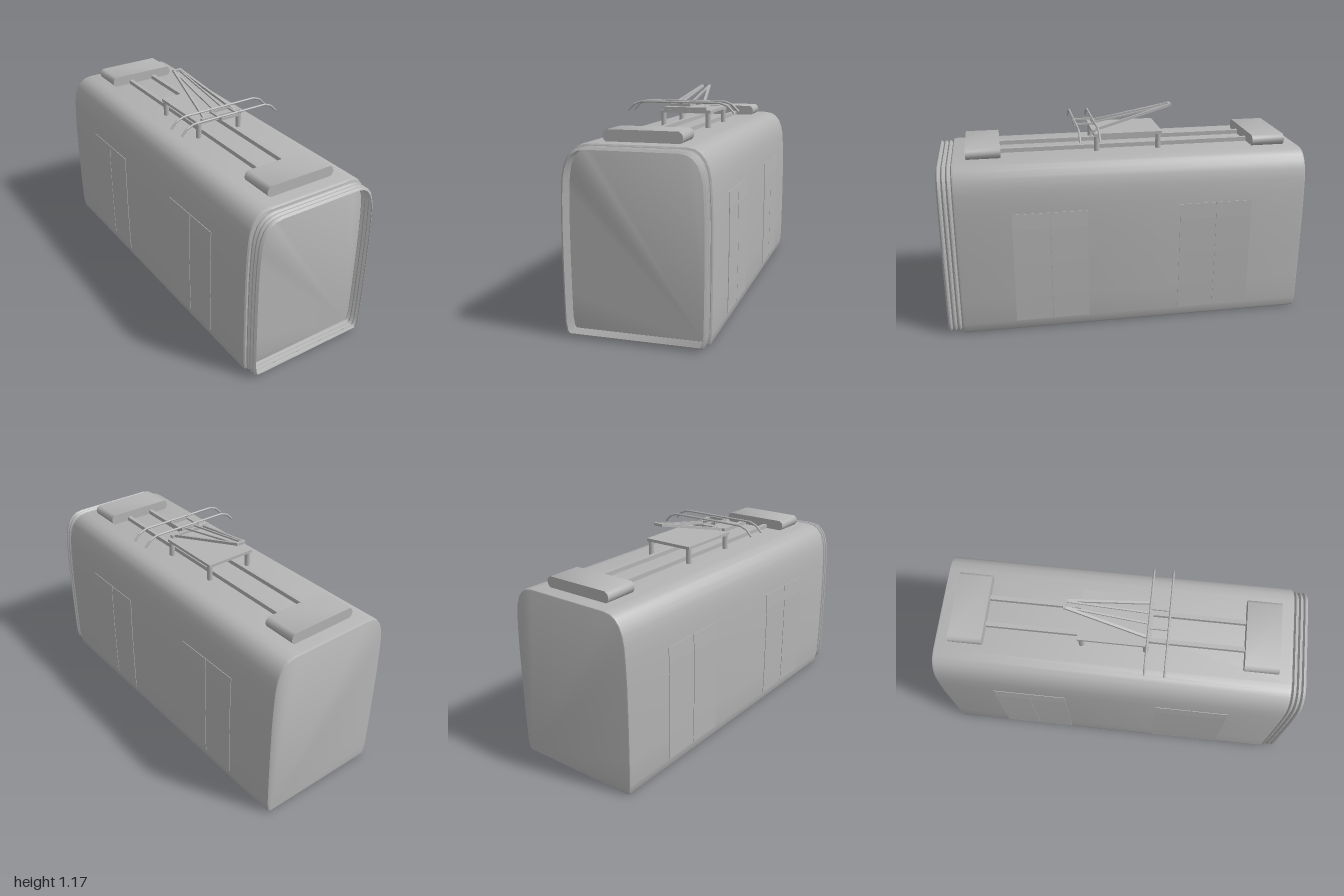
import * as THREE from 'three';
import { toCreasedNormals } from 'three/addons/utils/BufferGeometryUtils.js';

const grey = new THREE.MeshStandardMaterial({ color: 0xb4b4b4 });
grey.name = 'light grey';
grey.side = THREE.DoubleSide;

// Right half of the tram's cross-section, bottom to top
const SIDE = [[0.348, 0], [0.358, 0.012], [0.366, 0.06], [0.369, 0.2], [0.371, 0.4], [0.371, 0.6],
  [0.367, 0.72], [0.362, 0.8], [0.352, 0.85], [0.336, 0.892], [0.312, 0.922], [0.282, 0.94], [0.24, 0.947]];
const RING = [...SIDE, ...SIDE.map(([x, y]) => [-x, y]).reverse()];
const MID = 0.474;

// Half width of the body at height y
function widthAt(y) {
  const i = SIDE.findIndex(p => p[1] >= y);
  const [x0, y0] = SIDE[i - 1], [x1, y1] = SIDE[i];
  return x0 + (x1 - x0) * (y - y0) / (y1 - y0);
}

// Skin the cross-section through sections of [z, inset]
function loft(sections, capped) {
  const pos = [], idx = [], n = RING.length;
  const ring = (z, d) => RING.forEach(([x, y]) =>
    pos.push(x * (1 - d / 0.371), MID + (y - MID) * (1 - d / MID), z));
  sections.forEach(([z, d]) => ring(z, d));
  for (let r = 0; r < sections.length - 1; r++) {
    for (let i = 0; i < n; i++) {
      const a = r * n + i, b = r * n + (i + 1) % n;
      idx.push(a, b, b + n, a, b + n, a + n);
    }
  }
  if (capped) {
    const last = (sections.length - 1) * n;
    for (let i = 1; i < n - 1; i++) {
      idx.push(0, i + 1, i, last, last + i, last + i + 1);
    }
  }
  const g = new THREE.BufferGeometry();
  g.setAttribute('position', new THREE.Float32BufferAttribute(pos, 3));
  g.setIndex(idx);
  return toCreasedNormals(g, 0.6);
}

export function createModel() {
  const model = new THREE.Group();
  model.name = 'tramSection';

  const add = (name, geometry, x = 0, y = 0, z = 0) => {
    const m = new THREE.Mesh(geometry, grey);
    m.name = name;
    m.position.set(x, y, z);
    model.add(m);
    return m;
  };
  const box = (name, w, h, d, x, y, z) => add(name, new THREE.BoxGeometry(w, h, d), x, y, z);
  // Square bar running between two points
  const bar = (name, from, to, t) => {
    const a = new THREE.Vector3(...from), b = new THREE.Vector3(...to);
    const m = box(name, t, t, a.distanceTo(b), 0, 0, 0);
    m.position.copy(a).add(b).multiplyScalar(0.5);
    m.lookAt(b);
  };

  // Body shell with softly rounded ends
  add('body', loft([[-1, 0.008], [-0.997, 0.003], [-0.988, 0], [0.908, 0], [0.917, 0.003], [0.922, 0.01]], true));

  // Open pleated gangway bellows
  const pleats = [[0.915, 0.02]];
  for (let i = 0; i < 3; i++) {
    const z = 0.925 + i * 0.025;
    pleats.push([z, 0.022], [z + 0.009, 0.011], [z + 0.016, 0.011]);
  }
  pleats.push([1, 0.022]);
  add('bellows', loft(pleats, false));

  // Double doors following the curve of each side
  const levels = [0.06, 0.2, 0.4, 0.6, 0.69];
  const leaf = new THREE.Shape([
    ...levels.map(y => new THREE.Vector2(widthAt(y) + 0.003, y)),
    ...levels.slice().reverse().map(y => new THREE.Vector2(widthAt(y) - 0.003, y)),
  ]);
  const leafGeometry = new THREE.ExtrudeGeometry(leaf, { depth: 0.2, bevelEnabled: false });
  for (const z of [0.22, -0.692]) {
    for (const dz of [0, 0.204]) {
      add('leftDoorLeaf', leafGeometry, 0, 0, z + dz);
      add('rightDoorLeaf', leafGeometry, 0, 0, z + dz + 0.2).rotation.y = Math.PI;
    }
  }

  // Roof equipment boxes with rounded sides
  const pod = new THREE.Shape([
    [-0.185, 0.946], [0.185, 0.946], [0.197, 0.958], [0.202, 0.975], [0.197, 0.993], [0.18, 1.005],
    [-0.18, 1.005], [-0.197, 0.993], [-0.202, 0.975], [-0.197, 0.958],
  ].map(p => new THREE.Vector2(...p)));
  const podGeometry = toCreasedNormals(
    new THREE.ExtrudeGeometry(pod, { depth: 0.185, bevelEnabled: false }), 0.7);
  add('frontRoofBox', podGeometry, 0, 0, 0.66);
  add('rearRoofBox', podGeometry, 0, 0, -0.922);

  // Roof rails and pantograph base
  const post = new THREE.CylinderGeometry(0.015, 0.015, 0.09, 12);
  for (const s of [-1, 1]) {
    box('roofRail', 0.024, 0.026, 1.41, s * 0.078, 0.957, -0.04);
    for (const z of [0.135, -0.21]) add('basePost', post, s * 0.13, 0.987, z);
  }
  box('pantographBase', 0.292, 0.016, 0.38, 0, 1.036, -0.04);

  // Pantograph arms
  box('pantographAxle', 0.245, 0.016, 0.02, 0, 1.053, 0.15);
  for (const s of [-1, 1]) {
    bar('lowerArm', [s * 0.1, 1.053, 0.15], [s * 0.02, 1.16, -0.3], 0.014);
    bar('upperArm', [s * 0.03, 1.08, 0.14], [s * 0.016, 1.158, -0.3], 0.009);
    bar('headLink', [s * 0.055, 1.08, 0.14], [s * 0.055, 1.08, 0.245], 0.01);
    for (const z of [0.14, 0.245]) bar('headStrut', [s * 0.055, 1.072, z], [s * 0.055, 1.1, z], 0.009);
  }
  box('kneeBar', 0.056, 0.015, 0.016, 0, 1.16, -0.3);

  // Bowed contact strips
  const bow = new THREE.CurvePath();
  const pts = [[-0.303, 1.043], [-0.268, 1.079], [-0.225, 1.095], [0.225, 1.095], [0.268, 1.079], [0.303, 1.043]]
    .map(([x, y]) => new THREE.Vector3(x, y, 0));
  for (let i = 1; i < pts.length; i++) bow.add(new THREE.LineCurve3(pts[i - 1], pts[i]));
  const bowGeometry = new THREE.TubeGeometry(bow, 48, 0.006, 8, false);
  for (const z of [0.14, 0.245]) {
    add('contactStrip', bowGeometry, 0, 0, z);
    box('headCrossbar', 0.11, 0.014, 0.01, 0, 1.08, z);
  }

  return model;
}
